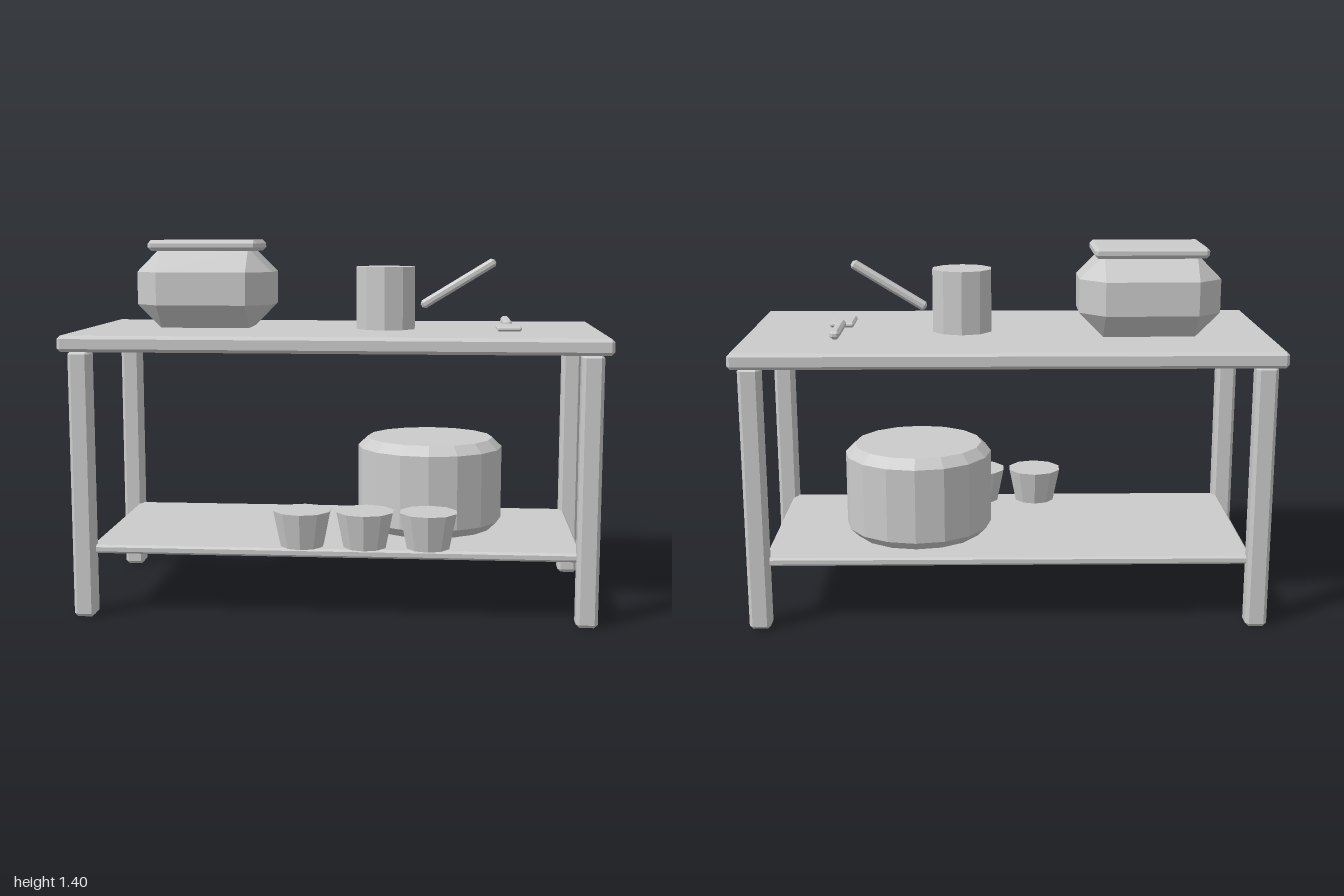
import * as THREE from 'three';
import { ConvexGeometry } from 'three/addons/geometries/ConvexGeometry.js';

const material = new THREE.MeshStandardMaterial({ color: 0xcccccc, flatShading: true });

function add(parent, name, geometry, x, y, z) {
  const mesh = new THREE.Mesh(geometry, material);
  mesh.name = name;
  mesh.position.set(x, y, z);
  parent.add(mesh);
  return mesh;
}

// Box with every edge and corner cut off by the chamfer c
function chamferBox(w, h, d, c) {
  const points = [];
  for (const sx of [-1, 1]) for (const sy of [-1, 1]) for (const sz of [-1, 1]) {
    const [x, y, z] = [w / 2, h / 2, d / 2];
    points.push(
      new THREE.Vector3(sx * x, sy * (y - c), sz * (z - c)),
      new THREE.Vector3(sx * (x - c), sy * y, sz * (z - c)),
      new THREE.Vector3(sx * (x - c), sy * (y - c), sz * z));
  }
  return new ConvexGeometry(points);
}

export function createModel() {
  const model = new THREE.Group();
  model.name = 'kitchenTable';

  // Table
  const table = new THREE.Group();
  table.name = 'table';
  model.add(table);
  add(table, 'tableTop', chamferBox(2, 0.06, 0.935, 0.012), 0, 1.03, 0);
  add(table, 'shelf', chamferBox(1.82, 0.032, 0.8, 0.008), 0, 0.255, 0);
  for (const x of [-0.93, 0.93]) for (const z of [-0.4, 0.4]) {
    add(table, 'leg', chamferBox(0.08, 1, 0.08, 0.013), x, 0.503, z);
  }

  // Faceted jar with a flat lid
  const jar = new THREE.Group();
  jar.name = 'jar';
  jar.position.set(-0.533, 1.06, -0.062);
  model.add(jar);
  add(jar, 'jarBody', chamferBox(0.53, 0.31, 0.37, 0.092), 0, 0.155, 0);
  add(jar, 'jarLid', chamferBox(0.425, 0.042, 0.293, 0.013), 0, 0.32, 0);

  // Mug and the stick leaning beside it
  add(model, 'mug', new THREE.CylinderGeometry(0.118, 0.118, 0.24, 10), 0.173, 1.18, 0);
  const stick = add(model, 'stick', chamferBox(0.33, 0.034, 0.045, 0.01), 0.453, 1.235, 0);
  stick.rotation.z = THREE.MathUtils.degToRad(31.5);

  // Spatula lying on the table
  const spatula = new THREE.Group();
  spatula.name = 'spatula';
  model.add(spatula);
  add(spatula, 'spatulaBlade', chamferBox(0.093, 0.02, 0.166, 0.007), 0.643, 1.074, 0.115);
  add(spatula, 'spatulaHandle', chamferBox(0.036, 0.032, 0.258, 0.01), 0.643, 1.081, -0.098);

  // Large pot with bevelled rims
  const potProfile = [[0, 0], [0.247, 0], [0.284, 0.036], [0.284, 0.322], [0.247, 0.358], [0, 0.358]]
    .map(([r, y]) => new THREE.Vector2(r, y));
  add(model, 'pot', new THREE.LatheGeometry(potProfile, 16), 0.348, 0.27, -0.058);

  // Row of tapered cups
  for (const x of [-0.12, 0.115, 0.35]) {
    add(model, 'cup', new THREE.CylinderGeometry(0.11, 0.082, 0.135, 10), x, 0.338, 0.335);
  }

  return model;
}
